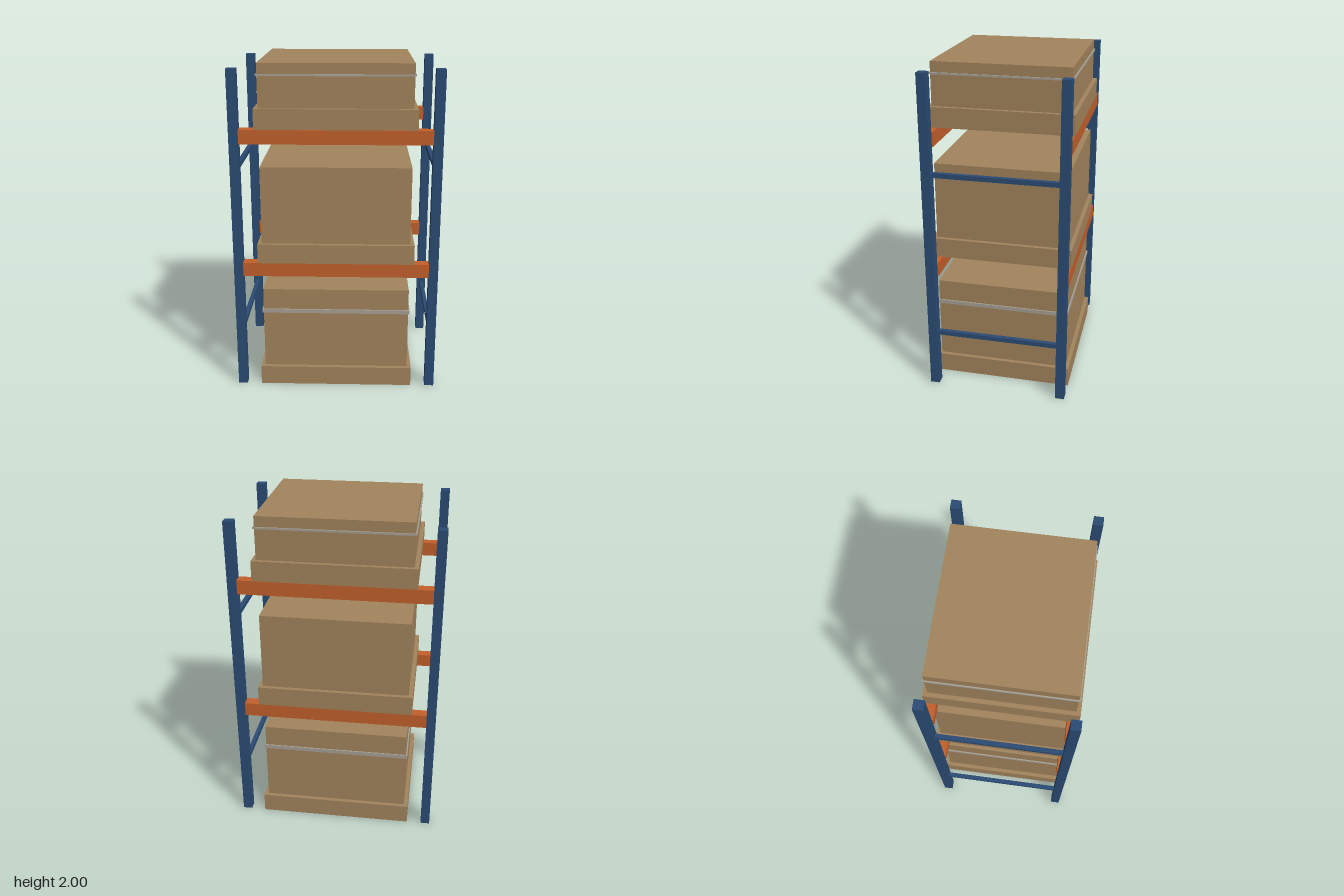
import * as THREE from 'three';

export function createModel() {
  const rack = new THREE.Group();
  rack.name = 'palletRack';

  const material = (name, color) => {
    const m = new THREE.MeshStandardMaterial({ color });
    m.name = name;
    return m;
  };
  const blue = material('uprightBlue', 0x2b4c75);
  const orange = material('beamOrange', 0xc4602b);
  const tan = material('cardboardTan', 0xa3845d);
  const grey = material('strapGrey', 0xa8a296);

  // Box placed by its bottom height
  const box = (parent, name, mat, w, h, d, x, bottom, z) => {
    const mesh = new THREE.Mesh(new THREE.BoxGeometry(w, h, d), mat);
    mesh.name = name;
    mesh.position.set(x, bottom + h / 2, z);
    parent.add(mesh);
  };

  // Uprights with cross braces between front and back
  for (const sx of [-1, 1]) {
    const frame = new THREE.Group();
    frame.name = sx > 0 ? 'leftFrame' : 'rightFrame';
    for (const sz of [-1, 1]) {
      box(frame, sz > 0 ? 'frontPost' : 'backPost', blue, 0.056, 1.97, 0.056, sx * 0.586, 0, sz * 0.397);
    }
    for (const y of [0.344, 1.37]) {
      box(frame, 'brace', blue, 0.026, 0.028, 0.75, sx * 0.586, y, 0);
    }
    rack.add(frame);
  }

  // Load beams at the front and back of both shelf levels
  for (const y of [0.73, 1.542]) {
    for (const sz of [-1, 1]) {
      box(rack, sz > 0 ? 'frontBeam' : 'backBeam', orange, 1.118, 0.084, 0.064, 0, y, sz * 0.393);
    }
  }

  // Pallets carrying boxes, some with a strap round them
  const loads = [
    { bottom: 0, top: 0.635, strap: [0.481, 0.024] },
    { bottom: 0.814, top: 1.402 },
    { bottom: 1.627, top: 2, strap: [1.928, 0.011] },
  ];
  for (const { bottom, top, strap } of loads) {
    const load = new THREE.Group();
    load.name = 'palletLoad';
    const deck = bottom + 0.119;
    box(load, 'pallet', tan, 0.938, 0.119, 0.852, 0, bottom, 0);
    box(load, 'carton', tan, 0.888, top - deck, 0.802, 0, deck, 0);
    if (strap) {
      const [y, h] = strap;
      for (const s of [-1, 1]) {
        box(load, 'strapSide', grey, 0.008, h, 0.818, s * 0.448, y, 0);
        box(load, 'strapFace', grey, 0.888, h, 0.008, 0, y, s * 0.405);
      }
    }
    rack.add(load);
  }

  return rack;
}
